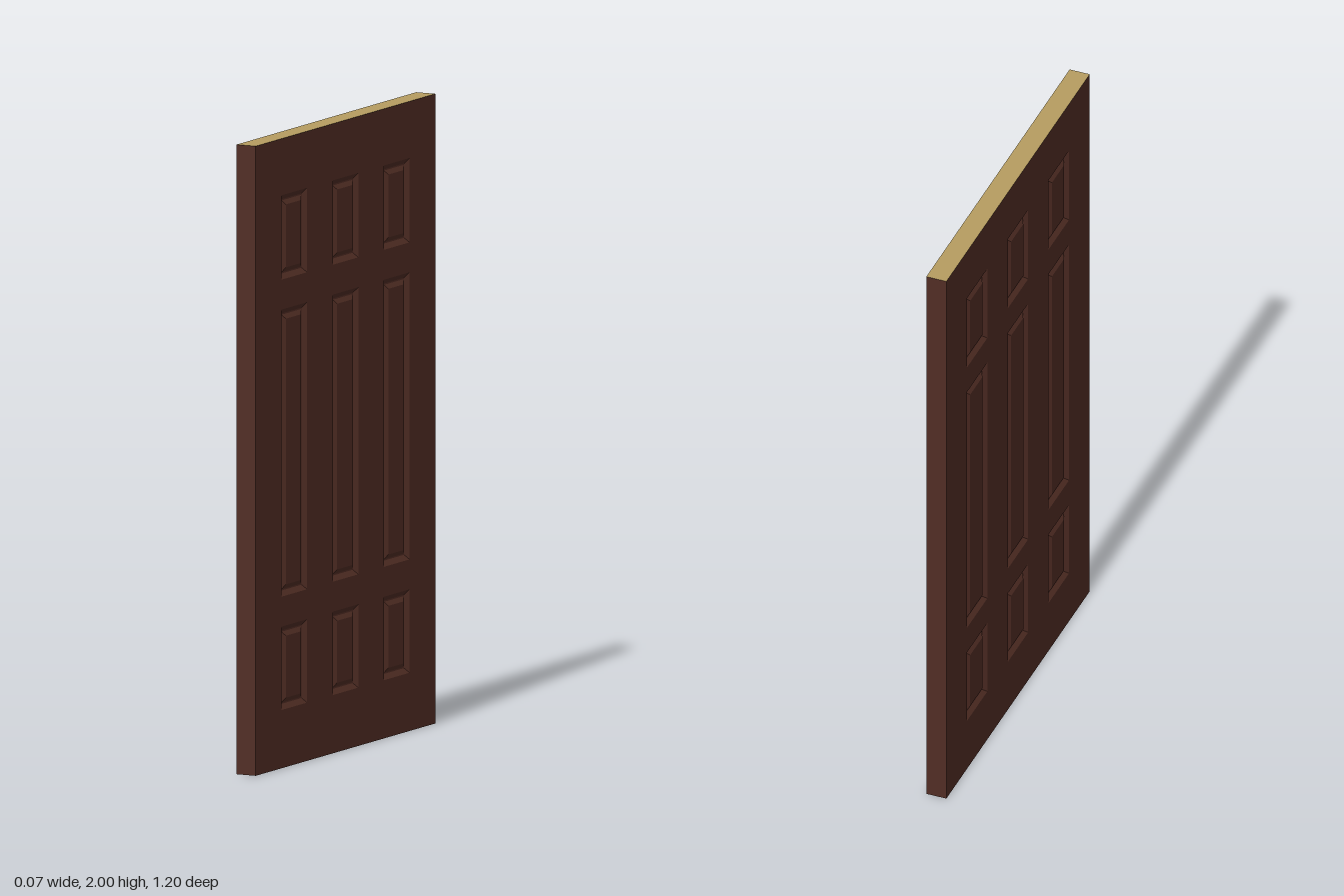
import * as THREE from 'three';

const W = 1.2, H = 2, T = 0.068;
const PANEL_W = 0.17;
const COLUMNS = [-0.342, 0, 0.342];
const ROWS = [[0.185, 0.45], [0.545, 1.457], [1.552, 1.82]]; // bottom and top of each row
const PROFILE = [[0, 0], [0.016, -0.011], [0.02, -0.011], [0.034, -0.003]]; // inset, depth

// corners of a rectangle, counter-clockwise
const corners = (x0, y0, x1, y1) => [[x0, y0], [x1, y0], [x1, y1], [x0, y1]];

// moulded panel: rectangular rings joined along the profile, closed by a flat field
function panelGeometry(x0, y0, x1, y1) {
  const rings = PROFILE.map(([inset, z]) =>
    corners(x0 + inset, y0 + inset, x1 - inset, y1 - inset).map(([x, y]) => [x, y, z]));
  const positions = [];
  const quad = (a, b, c, d) => positions.push(...a, ...b, ...c, ...a, ...c, ...d);
  for (let r = 0; r < rings.length - 1; r++) {
    for (let i = 0; i < 4; i++) {
      const j = (i + 1) % 4;
      quad(rings[r][i], rings[r][j], rings[r + 1][j], rings[r + 1][i]);
    }
  }
  quad(...rings[rings.length - 1]);
  const geometry = new THREE.BufferGeometry();
  geometry.setAttribute('position', new THREE.Float32BufferAttribute(positions, 3));
  geometry.computeVertexNormals();
  return geometry;
}

export function createModel() {
  const wood = new THREE.MeshStandardMaterial({ color: 0x512d24 });
  wood.name = 'dark brown wood';
  const rawWood = new THREE.MeshStandardMaterial({ color: 0xb69d60 });
  rawWood.name = 'bare tan wood';

  const door = new THREE.Group();
  door.name = 'door';
  const add = (parent, name, geometry, material) => {
    const mesh = new THREE.Mesh(geometry, material);
    mesh.name = name;
    parent.add(mesh);
    return mesh;
  };

  // frame sheet with openings, shared by both faces
  const sheet = new THREE.Shape(corners(-W / 2, 0, W / 2, H).map(p => new THREE.Vector2(...p)));
  const panels = [];
  for (const x of COLUMNS) {
    for (const [y0, y1] of ROWS) {
      const rect = [x - PANEL_W / 2, y0, x + PANEL_W / 2, y1];
      sheet.holes.push(new THREE.Path(corners(...rect).reverse().map(p => new THREE.Vector2(...p))));
      panels.push(panelGeometry(...rect));
    }
  }
  const sheetGeometry = new THREE.ShapeGeometry(sheet);

  // the two broad faces
  for (const side of [1, -1]) {
    const face = new THREE.Group();
    face.name = side > 0 ? 'leftFace' : 'rightFace';
    add(face, 'frameSheet', sheetGeometry, wood);
    for (const geometry of panels) add(face, 'mouldedPanel', geometry, wood);
    face.rotation.y = side * Math.PI / 2;
    face.position.x = side * T / 2;
    door.add(face);

    // upright edge
    const edge = add(door, side > 0 ? 'frontEdge' : 'backEdge', new THREE.PlaneGeometry(T, H), wood);
    edge.position.set(0, H / 2, side * W / 2);
    if (side < 0) edge.rotation.y = Math.PI;

    // bare top and bottom edges
    const end = add(door, side > 0 ? 'topEdge' : 'bottomEdge', new THREE.PlaneGeometry(T, W), rawWood);
    end.rotation.x = -side * Math.PI / 2;
    end.position.y = side > 0 ? H : 0;
  }
  return door;
}
